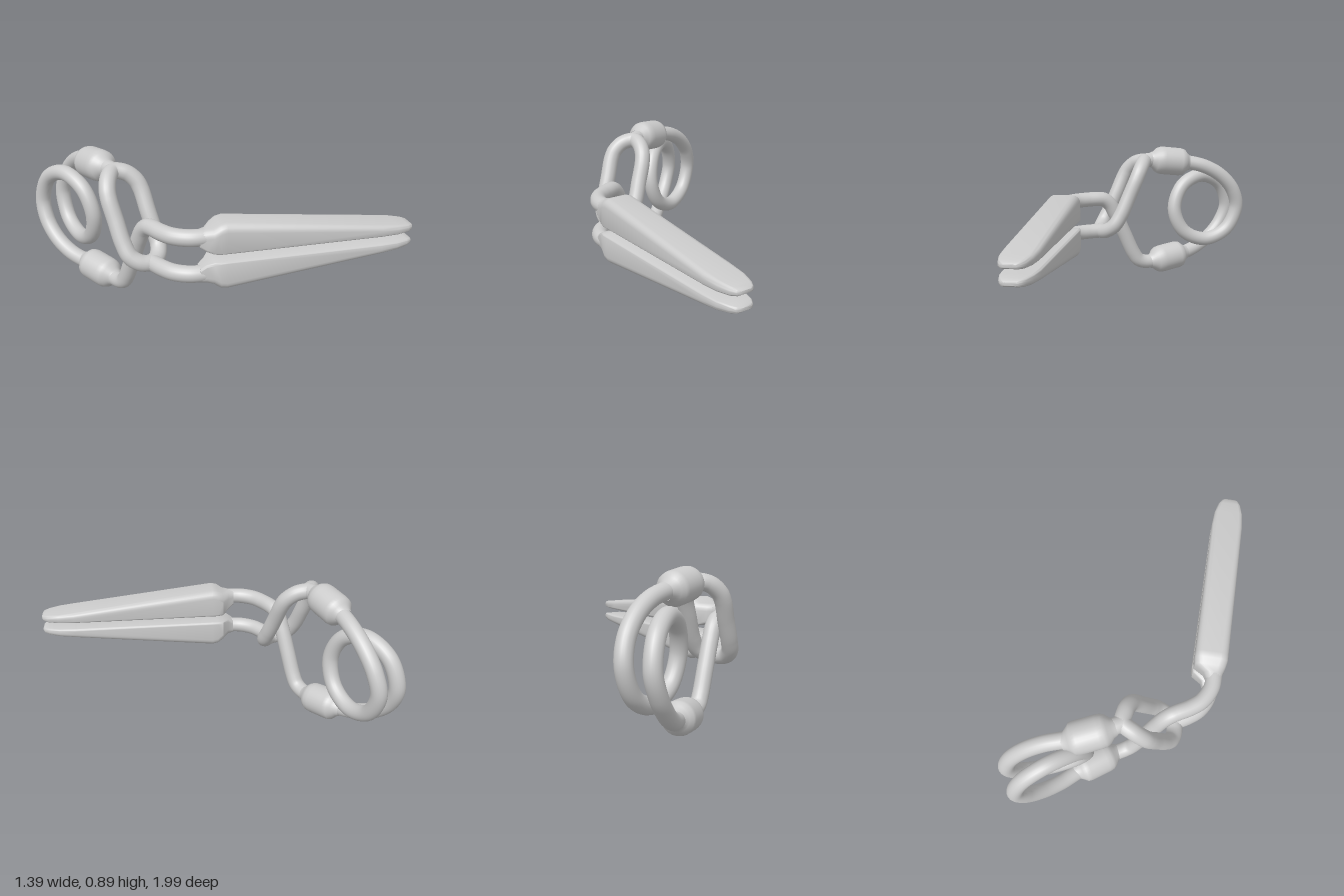
import * as THREE from 'three';
import { toCreasedNormals } from 'three/addons/utils/BufferGeometryUtils.js';

const CX = -0.537, CY = 0.44, WIRE = 0.048;
const material = new THREE.MeshStandardMaterial({ color: 0xcccccc });

// Points are offsets from the long axis of the clip: [x, y, z]
const place = ([x, y, z]) => new THREE.Vector3(CX + x, CY + y, z);

function add(group, name, geometry) {
  const mesh = new THREE.Mesh(geometry, material);
  mesh.name = name;
  group.add(mesh);
  return mesh;
}

function wire(points, segments, closed = false) {
  const curve = new THREE.CatmullRomCurve3(points.map(place), closed);
  return new THREE.TubeGeometry(curve, segments, WIRE, 20, closed);
}

// Tapered blade lofted along x from rounded rectangles: [x, centre z, half width, bottom, top]
function bladeGeometry() {
  const sections = [
    [-0.2, 0.515, 0.045, 0.505, 0.595], [-0.165, 0.51, 0.055, 0.48, 0.6],
    [-0.125, 0.487, 0.09, 0.465, 0.607], [-0.09, 0.487, 0.0975, 0.463, 0.63],
    [-0.055, 0.487, 0.0975, 0.463, 0.638], [0.85, 0.487, 0.0975, 0.463, 0.528],
    [0.95, 0.487, 0.09, 0.463, 0.517], [1.02, 0.487, 0.071, 0.464, 0.508],
    [1.05, 0.487, 0.053, 0.468, 0.501], [1.06, 0.487, 0.035, 0.475, 0.493],
  ];
  const steps = 5, n = 4 * (steps + 1), pos = [], index = [];
  for (const [x, zc, hw, bottom, top] of sections) {
    const h = top - bottom;
    for (let k = 0; k < 4; k++) {
      const sy = k === 0 || k === 3 ? 1 : -1, sz = k < 2 ? 1 : -1;
      const r = sy > 0 ? Math.min(0.045, h * 0.45, hw * 0.8) : Math.min(0.014, h * 0.4);
      const cy = sy > 0 ? top - r : bottom + r, cz = zc + sz * (hw - r);
      for (let i = 0; i <= steps; i++) {
        const a = (k + i / steps) * Math.PI / 2;
        pos.push(x, cy + r * Math.cos(a), cz + r * Math.sin(a));
      }
    }
  }
  const last = sections.length - 1;
  for (const [x, zc, , bottom, top] of [sections[0], sections[last]]) pos.push(x, (bottom + top) / 2, zc);
  const startCentre = sections.length * n;
  for (let j = 0; j < n; j++) {
    const k = (j + 1) % n;
    for (let i = 0; i < last; i++) {
      const a = i * n + j, b = i * n + k;
      index.push(a, b, a + n, b, b + n, a + n);
    }
    index.push(startCentre, k, j, startCentre + 1, last * n + j, last * n + k);
  }
  const g = new THREE.BufferGeometry();
  g.setAttribute('position', new THREE.Float32BufferAttribute(pos, 3));
  g.setIndex(index);
  return g;
}

// Mirror a geometry across the plane between the jaws
function mirrored(geometry) {
  const g = geometry.clone().translate(0, -CY, 0).scale(1, -1, 1).translate(0, CY, 0);
  g.index.array.reverse();
  return g;
}

export function createModel() {
  const model = new THREE.Group();

  // Blades, angled sideways from the shank
  const blade = bladeGeometry();
  for (const [name, g] of [['upperBlade', blade], ['lowerBlade', mirrored(blade)]]) {
    add(model, name, toCreasedNormals(g, 0.7)).rotation.y = -Math.PI / 6;
  }

  // Bent shank leading to each blade
  const shank = (y) => [
    [0, y, 0.08], [0, y, 0.16], [0.015, y, 0.24], [0.07, y, 0.322], [0.193, y, 0.396],
  ];

  // Spring: half a coil from the upper arm, then the same turned half a turn about the long axis
  const half = [
    [0, 0.355, -0.25], [0, 0.36, -0.33], [0.01, 0.345, -0.445], [0.03, 0.333, -0.57],
    [0.06, 0.303, -0.69], [0.08, 0.235, -0.81], [0.085, 0.13, -0.905], [0.075, 0, -0.945],
    [0.06, -0.159, -0.874], [0.04, -0.225, -0.715], [0.018, -0.159, -0.556],
  ];
  const turned = half.map(([x, y, z]) => [-x, -y, z]).reverse();

  // Single strand that crosses through the link up to the upper blade
  const crossing = [
    [0, -0.335, -0.21], [0, -0.285, -0.175], [0, -0.14, -0.108], [0, 0, -0.043],
    [0, 0.075, 0.0], [0, 0.105, 0.04],
  ];
  add(model, 'springAndUpperShank',
    wire([...half, [0, 0, -0.49], ...turned, ...crossing, ...shank(0.112)], 420));

  // Open link with two side rails, joined to the lower shank
  const rail = [
    [0.06, -0.098, 0.045], [0.102, -0.06, 0.005], [0.113, 0.01, -0.04], [0.113, 0.13, -0.098],
    [0.113, 0.245, -0.152], [0.1, 0.295, -0.18], [0.06, 0.34, -0.22],
  ];
  const otherRail = rail.map(([x, y, z]) => [-x, y, z]).reverse();
  add(model, 'link', wire([[0, -0.108, 0.065], ...rail, [0, 0.355, -0.255], ...otherRail], 180, true));
  add(model, 'lowerShank', wire([[0, -0.108, 0.05], ...shank(-0.108)], 60));

  // Swollen sleeves on the two spring arms
  const profile = [
    [0.046, -0.15], [0.058, -0.125], [0.082, -0.102], [0.092, -0.08], [0.095, -0.05],
    [0.095, 0.07], [0.09, 0.095], [0.07, 0.115], [0.054, 0.135], [0.046, 0.155],
  ].map(([r, y]) => new THREE.Vector2(r, y));
  for (const [name, s] of [['upperSleeve', 1], ['lowerSleeve', -1]]) {
    const sleeve = add(model, name, new THREE.LatheGeometry(profile, 32));
    sleeve.position.copy(place([0.01 * s, 0.345 * s, -0.445]));
    const axis = new THREE.Vector3(0.025 * s, -0.025 * s, -0.22).normalize();
    sleeve.quaternion.setFromUnitVectors(new THREE.Vector3(0, 1, 0), axis);
  }

  return model;
}
